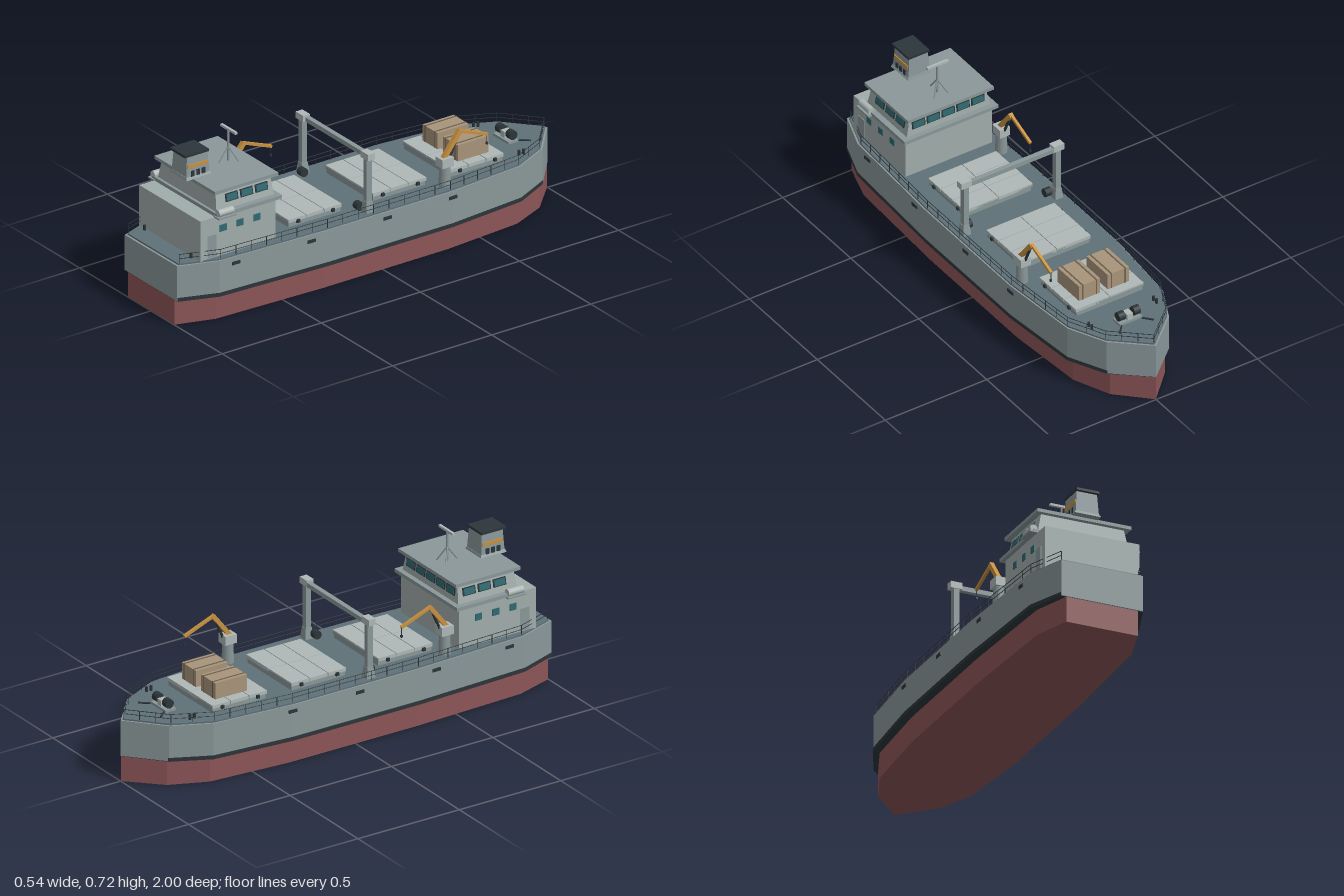
import * as THREE from 'three';

const colours = {
  hullGrey: 0x8a9799, deckSlate: 0x5f7178, keelRed: 0x8c5557, darkSteel: 0x2c353a, houseGrey: 0xa0adab,
  paleGrey: 0xafb9b7, craneOrange: 0xc8913f, glassTeal: 0x2f6a70, crateTan: 0xa8947a, strapBrown: 0x6f6250,
};
const M = {};
for (const [name, color] of Object.entries(colours)) {
  M[name] = new THREE.MeshStandardMaterial({ color });
  M[name].name = name;
}

// Half outline of the hull from bow to stern: [x, z]
const HALF = [[0, -1], [0.155, -0.865], [0.235, -0.7], [0.268, -0.33], [0.268, 0.3], [0.245, 0.83], [0.184, 1]];

function hullX(z) {
  for (let i = 1; i < HALF.length; i++) {
    const [x0, z0] = HALF[i - 1], [x1, z1] = HALF[i];
    if (z <= z1) return x0 + (x1 - x0) * (z - z0) / (z1 - z0);
  }
  return 0.184;
}

function add(parent, name, geo, mat, x = 0, y = 0, z = 0) {
  const m = new THREE.Mesh(geo, mat);
  m.name = name;
  m.position.set(x, y, z);
  parent.add(m);
  return m;
}
// Box given by its centre, standing on y0
function box(parent, name, mat, w, h, d, x, y0, z) {
  return add(parent, name, new THREE.BoxGeometry(w, h, d), mat, x, y0 + h / 2, z);
}
// Box whose top is narrower than its base
function taper(parent, name, mat, w, h, d, x, y0, z, tx, tz) {
  const g = new THREE.BoxGeometry(w, h, d), p = g.attributes.position;
  for (let i = 0; i < p.count; i++) if (p.getY(i) > 0) p.setXYZ(i, p.getX(i) * tx, p.getY(i), p.getZ(i) * tz);
  g.computeVertexNormals();
  return add(parent, name, g, mat, x, y0 + h / 2, z);
}
// Bar between two points: round, or square when depth is set
function bar(parent, name, mat, a, b, r, square = false, sides = 6) {
  const A = new THREE.Vector3(...a), B = new THREE.Vector3(...b), len = A.distanceTo(B);
  const g = square ? new THREE.BoxGeometry(2 * r, len, 2 * r) : new THREE.CylinderGeometry(r, r, len, sides);
  const m = add(parent, name, g, mat);
  m.position.copy(A).add(B).multiplyScalar(0.5);
  m.quaternion.setFromUnitVectors(new THREE.Vector3(0, 1, 0), B.sub(A).normalize());
  return m;
}
// Horizontal slice of the hull
function slice(parent, name, mat, sx, sz, y0, y1) {
  const pts = HALF.map(([x, z]) => new THREE.Vector2(x * sx, -z * sz));
  const port = pts.slice(1).reverse().map(p => new THREE.Vector2(-p.x, p.y));
  const g = new THREE.ExtrudeGeometry(new THREE.Shape([...pts, ...port]), { depth: y1 - y0, bevelEnabled: false });
  g.rotateX(-Math.PI / 2);
  return add(parent, name, g, mat, 0, y0, 0);
}
function group(parent, name) {
  const g = new THREE.Group();
  g.name = name;
  parent.add(g);
  return g;
}

function buildHull(ship) {
  const hull = group(ship, 'hull');
  slice(hull, 'underwaterHull', M.keelRed, 0.88, 0.998, 0, 0.116);
  slice(hull, 'upperHull', M.hullGrey, 1, 1, 0.115, 0.274);
  slice(hull, 'waterlineBand', M.darkSteel, 1.01, 0.9985, 0.113, 0.13);
  slice(hull, 'deck', M.deckSlate, 0.975, 0.99, 0.27, 0.281);
  for (const s of [-1, 1]) for (const z of [0.75, 0.38, 0, -0.33])
    box(hull, 'hullPort', M.darkSteel, 0.008, 0.014, 0.04, s * hullX(z), 0.24, z);
}

function buildRails(ship) {
  const rails = group(ship, 'railings');
  for (const s of [-1, 1]) {
    for (let i = 1; i < HALF.length; i++) {
      const [x0, z0] = HALF[i - 1], [x1, z1] = HALF[i];
      const at = (t, y) => [s * 0.965 * (x0 + (x1 - x0) * t), y, 0.985 * (z0 + (z1 - z0) * t)];
      for (const y of [0.302, 0.321]) bar(rails, 'rail', M.darkSteel, at(0, y), at(1, y), 0.0015, false, 5);
      const n = Math.max(2, Math.round(Math.hypot(x1 - x0, z1 - z0) / 0.075));
      for (let k = 0; k < n + (i === HALF.length - 1 ? 1 : 0); k++)
        bar(rails, 'railPost', M.darkSteel, at(k / n, 0.28), at(k / n, 0.322), 0.0015, false, 5);
    }
  }
}

function buildHatch(ship, z) {
  const h = group(ship, 'cargoHatch');
  box(h, 'coaming', M.hullGrey, 0.325, 0.022, 0.262, 0, 0.28, z);
  box(h, 'seamBase', M.hullGrey, 0.332, 0.01, 0.268, 0, 0.3, z);
  for (const s of [-1, 1]) {
    for (const k of [-1, 0, 1]) box(h, 'hatchPanel', M.paleGrey, 0.166, 0.015, 0.087, s * 0.0845, 0.302, z + k * 0.0905);
    for (const k of [-1, 1]) box(h, 'hatchClip', M.darkSteel, 0.01, 0.014, 0.014, s * 0.171, 0.295, z + k * 0.088);
  }
}

function buildCrates(ship) {
  for (const s of [-1, 1]) {
    const c = group(ship, 'crate');
    box(c, 'crateBody', M.crateTan, 0.104, 0.073, 0.156, s * 0.071, 0.317, -0.538);
    for (const k of [-1, 1]) box(c, 'strap', M.strapBrown, 0.006, 0.075, 0.159, s * 0.071 + k * 0.034, 0.317, -0.538);
  }
}

function buildCrane(ship, x, z) {
  const c = group(ship, 'deckCrane');
  c.position.set(x, 0, z);
  add(c, 'pedestal', new THREE.CylinderGeometry(0.023, 0.026, 0.095, 12), M.hullGrey, 0, 0.325, 0);
  box(c, 'craneHousing', M.paleGrey, 0.05, 0.04, 0.057, 0, 0.37, 0);
  bar(c, 'lowerBoom', M.craneOrange, [0, 0.4, 0.01], [0, 0.51, -0.075], 0.0095, true);
  bar(c, 'upperBoom', M.craneOrange, [0, 0.509, -0.07], [0, 0.453, -0.215], 0.006, true);
  bar(c, 'boomRam', M.darkSteel, [0, 0.4, -0.024], [0, 0.475, -0.058], 0.006, false, 8);
  bar(c, 'hoistCable', M.darkSteel, [0, 0.453, -0.212], [0, 0.415, -0.212], 0.002);
  box(c, 'hook', M.darkSteel, 0.008, 0.01, 0.008, 0, 0.408, -0.212);
}

function buildGantry(ship) {
  const g = group(ship, 'gantry');
  for (const s of [-1, 1]) {
    taper(g, 'gantryFoot', M.hullGrey, 0.04, 0.05, 0.042, s * 0.227, 0.28, 0.07, 0.7, 0.7);
    box(g, 'gantryPost', M.hullGrey, 0.024, 0.24, 0.026, s * 0.227, 0.285, 0.07);
    box(g, 'gantryHead', M.paleGrey, 0.052, 0.029, 0.034, s * 0.228, 0.522, 0.07);
    const w = add(g, 'winchDrum', new THREE.CylinderGeometry(0.019, 0.019, 0.03, 12), M.darkSteel, s * 0.196, 0.302, 0.094);
    w.rotation.z = Math.PI / 2;
  }
  box(g, 'gantryBeam', M.hullGrey, 0.41, 0.02, 0.022, 0, 0.522, 0.065);
}

function windowPane(parent, w, h) {
  add(parent, 'windowFrame', new THREE.BoxGeometry(w + 0.01, h + 0.008, 0.004), M.darkSteel);
  add(parent, 'windowGlass', new THREE.BoxGeometry(w, h, 0.006), M.glassTeal, 0, 0, 0.001);
}

function buildHouse(ship) {
  const h = group(ship, 'deckHouse');
  box(h, 'accommodation', M.houseGrey, 0.428, 0.184, 0.38, 0, 0.278, 0.715);
  box(h, 'bridgeDeck', M.hullGrey, 0.462, 0.016, 0.325, 0, 0.462, 0.667);
  taper(h, 'bridge', M.houseGrey, 0.41, 0.084, 0.29, 0, 0.477, 0.672, 0.915, 0.95);
  box(h, 'bridgeRoof', M.hullGrey, 0.424, 0.015, 0.32, 0, 0.56, 0.67);
  for (const s of [-1, 1]) {
    // side windows, door and life raft
    for (const z of [0.79, 0.705, 0.62]) {
      box(h, 'cabinWindow', M.glassTeal, 0.006, 0.03, 0.034, s * 0.214, 0.389, z);
    }
    box(h, 'sideDoor', M.hullGrey, 0.006, 0.1, 0.045, s * 0.214, 0.285, 0.847);
    for (const z of [0.735, 0.66, 0.585]) {
      const p = group(h, 'bridgeSideWindow');
      p.position.set(s * 0.1975, 0.524, z);
      p.rotation.order = 'YXZ';
      p.rotation.set(-0.2, s * Math.PI / 2, 0);
      windowPane(p, 0.052, 0.027);
    }
    box(h, 'raftCradle', M.hullGrey, 0.04, 0.007, 0.09, s * 0.229, 0.461, 0.79);
    const raft = add(h, 'lifeRaft', new THREE.CylinderGeometry(0.016, 0.016, 0.075, 14), M.paleGrey, s * 0.228, 0.482, 0.79);
    raft.rotation.x = Math.PI / 2;
  }
  for (let i = -2; i <= 2; i++) {
    const p = group(h, 'bridgeForwardWindow');
    p.position.set(i * 0.073, 0.524, 0.5295);
    p.rotation.order = 'YXZ';
    p.rotation.set(-0.086, Math.PI, 0);
    windowPane(p, 0.054, 0.027);
  }
}

function buildFunnel(ship) {
  const f = group(ship, 'funnel');
  taper(f, 'funnelFoot', M.hullGrey, 0.12, 0.012, 0.125, 0, 0.573, 0.8, 0.88, 0.95);
  taper(f, 'funnelBody', M.hullGrey, 0.106, 0.102, 0.116, 0, 0.574, 0.8, 0.87, 0.9);
  box(f, 'funnelCap', M.darkSteel, 0.104, 0.011, 0.122, 0, 0.675, 0.805);
  for (const s of [-1, 1]) {
    box(f, 'funnelStripe', M.craneOrange, 0.006, 0.016, 0.1, s * 0.0495, 0.622, 0.8);
    for (const k of [-1, 0, 1]) box(f, 'funnelVent', M.darkSteel, 0.006, 0.025, 0.016, s * 0.0515, 0.584, 0.8 + k * 0.027);
  }
}

function buildMast(ship) {
  const m = group(ship, 'radarMast');
  bar(m, 'mastPole', M.hullGrey, [0, 0.573, 0.61], [0, 0.712, 0.61], 0.0045, false, 8);
  for (const [x, z] of [[-0.035, 0.58], [0.035, 0.58], [0, 0.66]])
    bar(m, 'mastStay', M.hullGrey, [x, 0.573, z], [0, 0.64, 0.61], 0.003);
  box(m, 'radarBar', M.paleGrey, 0.104, 0.01, 0.012, 0, 0.711, 0.607);
}

function buildMooringGear(ship) {
  const g = group(ship, 'mooringGear');
  box(g, 'windlassBed', M.hullGrey, 0.11, 0.012, 0.05, 0, 0.28, -0.79);
  box(g, 'windlassGearbox', M.paleGrey, 0.028, 0.035, 0.036, 0, 0.285, -0.792);
  for (const s of [-1, 1]) {
    const d = add(g, 'windlassDrum', new THREE.CylinderGeometry(0.02, 0.02, 0.03, 14), M.darkSteel, s * 0.037, 0.314, -0.792);
    d.rotation.z = Math.PI / 2;
    bar(g, 'anchorChain', M.darkSteel, [s * 0.05, 0.286, -0.82], [s * 0.083, 0.286, -0.858], 0.004);
    for (const [x, z] of [[0.162, 0.915], [0.16, -0.765]]) for (const k of z < 0 ? [0, 0.022] : [0])
      add(g, 'bollard', new THREE.CylinderGeometry(0.006, 0.006, 0.022, 8), M.darkSteel, s * x, 0.292, z + k);
  }
}

export function createModel() {
  const ship = new THREE.Group();
  ship.name = 'cargoShip';
  buildHull(ship);
  buildRails(ship);
  for (const z of [-0.525, -0.135, 0.292]) buildHatch(ship, z);
  buildCrates(ship);
  buildCrane(ship, 0.212, -0.33);
  buildCrane(ship, -0.212, 0.455);
  buildGantry(ship);
  buildHouse(ship);
  buildFunnel(ship);
  buildMast(ship);
  buildMooringGear(ship);
  return ship;
}
